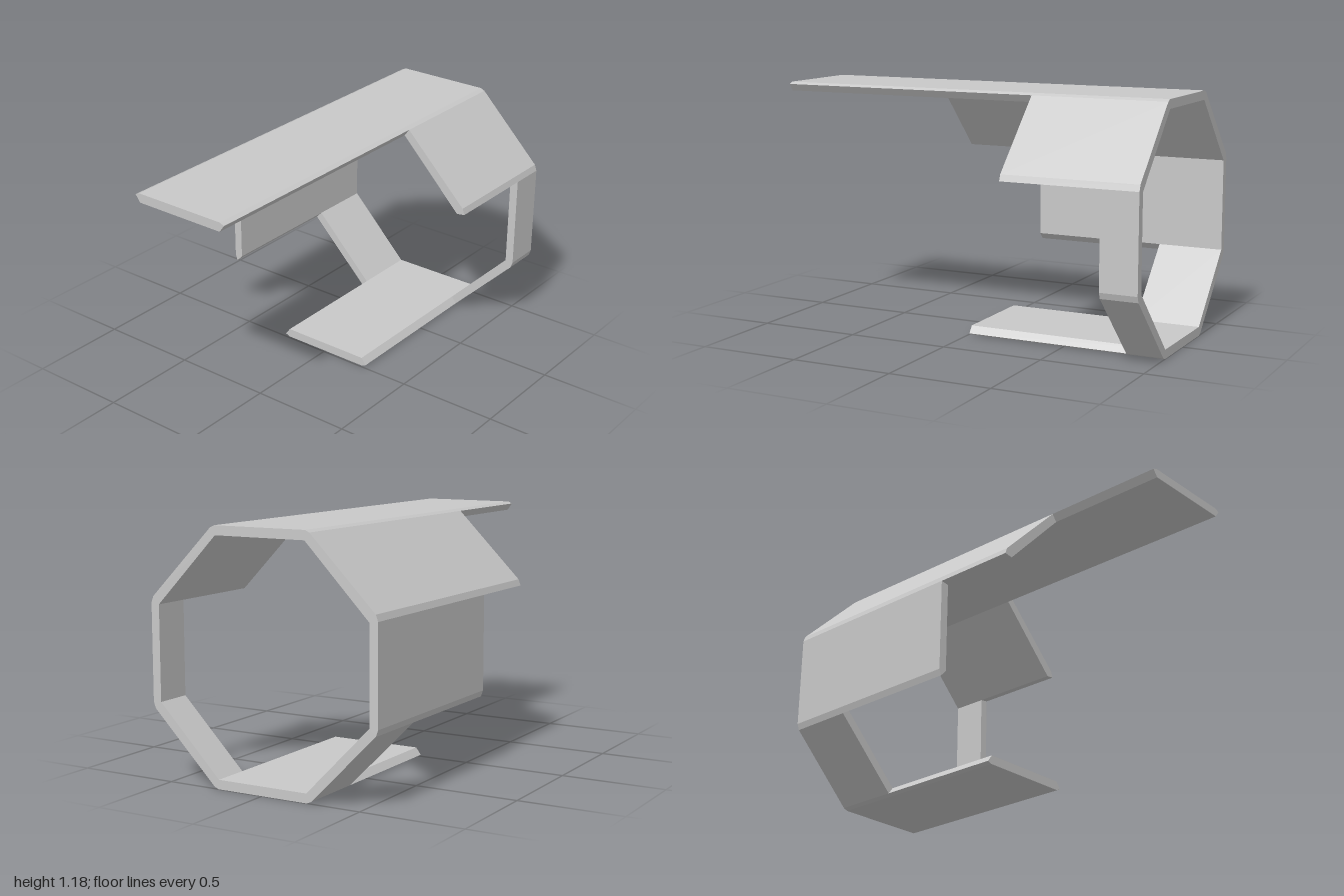
import * as THREE from 'three';

export function createModel() {
  const group = new THREE.Group();
  const grey = new THREE.MeshStandardMaterial({ color: 0xc8c8c8 });
  grey.name = 'light grey';

  const MID = 0.593; // height of the tube axis
  const BACK = -1;

  // Half sections relative to the axis: outer edge points first, then inner ones.
  const flat = [[-0.257, 0.582], [-0.235, 0.592], [0.235, 0.592], [0.257, 0.582], [0.232, 0.548], [-0.232, 0.548]];
  const upperSlope = [[0.257, 0.582], [0.58, 0.258], [0.591, 0.228], [0.549, 0.222], [0.232, 0.548]];
  const side = [[0.591, 0.228], [0.591, -0.228], [0.58, -0.258], [0.549, -0.226], [0.549, 0.222]];
  const lowerSlope = [[0.58, -0.258], [0.257, -0.582], [0.232, -0.548], [0.549, -0.226]];

  // One wall of the octagonal tube, running from the back rim to its own front end.
  function wall(name, section, frontZ, sx = 1, sy = 1) {
    const shape = new THREE.Shape(section.map(([x, y]) => new THREE.Vector2(x * sx, y * sy)));
    const geometry = new THREE.ExtrudeGeometry(shape, { depth: frontZ - BACK, bevelEnabled: false });
    geometry.translate(0, MID, BACK);
    const mesh = new THREE.Mesh(geometry, grey);
    mesh.name = name;
    group.add(mesh);
  }

  wall('topWall', flat, 1);
  wall('bottomWall', flat, -0.01, 1, -1);
  wall('upperLeftWall', upperSlope, -0.335);
  wall('leftWall', side, -0.82);
  wall('lowerLeftWall', lowerSlope, -0.82);
  wall('upperRightWall', upperSlope, 0.395, -1);
  wall('rightWall', side, -0.01, -1);
  wall('lowerRightWall', lowerSlope, -0.675, -1);

  return group;
}
